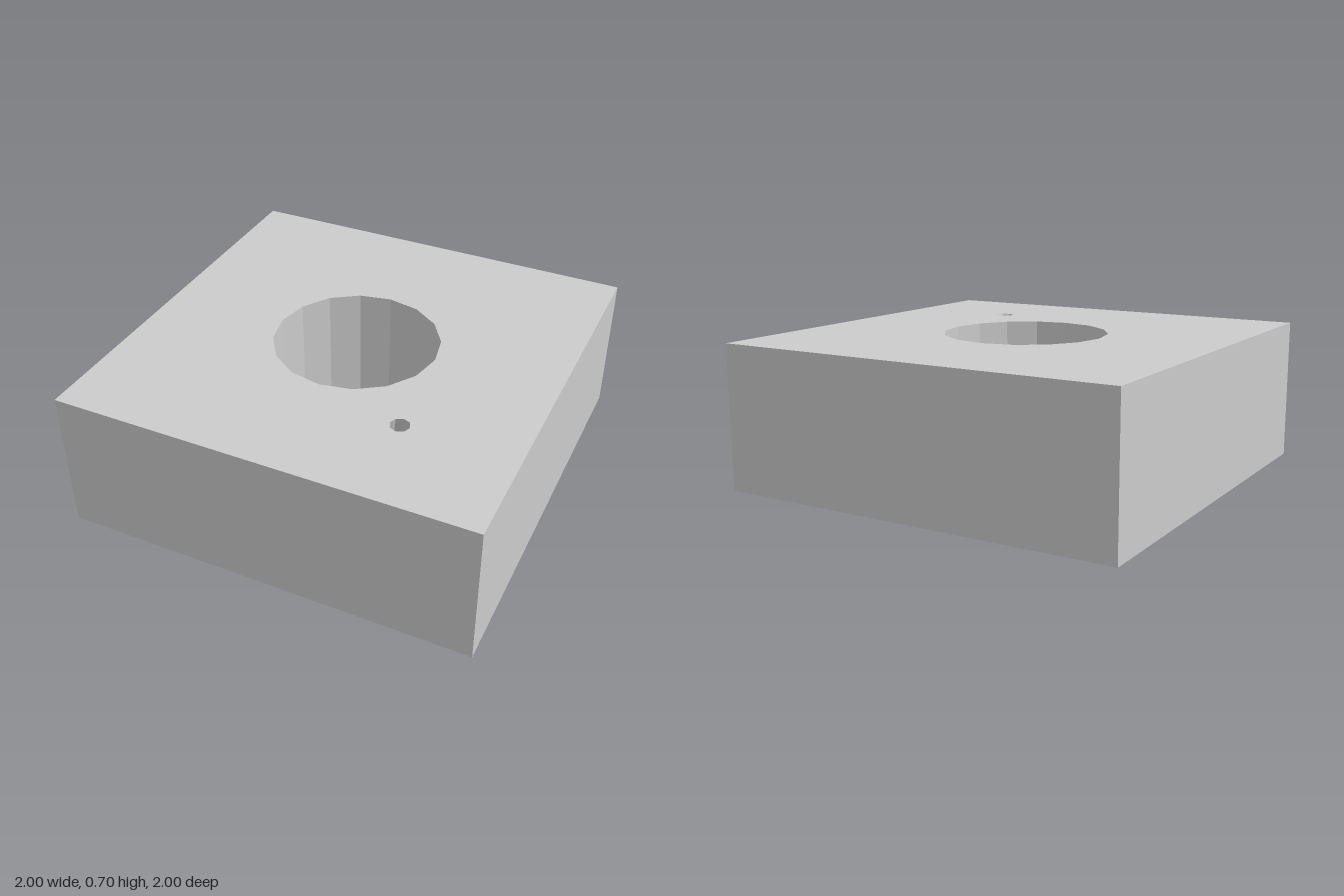
import * as THREE from 'three';

const material = new THREE.MeshStandardMaterial({ color: 0xcccccc, flatShading: true, side: THREE.DoubleSide });
const H = 0.7;      // block height
const ROOF = 0.3;   // pocket depth from below

// Regular polygon as [x, z] points
const ring = (cx, cz, r, n) => Array.from({ length: n }, (_, i) => {
  const a = (i / n) * Math.PI * 2;
  return [cx + r * Math.cos(a), cz + r * Math.sin(a)];
});
const toVectors = (loop) => loop.map(([x, z]) => new THREE.Vector2(x, z));

function add(group, name, geometry) {
  const mesh = new THREE.Mesh(geometry, material);
  mesh.name = name;
  group.add(mesh);
}

// Horizontal face with holes, facing up or down
function face(loop, holes, y, up) {
  const shape = new THREE.Shape(toVectors(loop));
  holes.forEach((h) => shape.holes.push(new THREE.Path(toVectors(h))));
  const g = new THREE.ShapeGeometry(shape).rotateX(Math.PI / 2);
  if (up) {
    const ix = g.index.array;
    for (let i = 0; i < ix.length; i += 3) [ix[i], ix[i + 1]] = [ix[i + 1], ix[i]];
  }
  g.translate(0, y, 0);
  g.computeVertexNormals();
  return g;
}

// Wall between a lower and an upper loop; inward walls line holes
function wall(low, y0, high, y1, inward) {
  const pos = [];
  low.forEach((_, i) => {
    const j = (i + 1) % low.length;
    const a = [low[i][0], y0, low[i][1]], b = [low[j][0], y0, low[j][1]];
    const c = [high[j][0], y1, high[j][1]], d = [high[i][0], y1, high[i][1]];
    const quad = inward ? [a, b, c, a, c, d] : [a, c, b, a, d, c];
    quad.forEach((p) => pos.push(...p));
  });
  const g = new THREE.BufferGeometry();
  g.setAttribute('position', new THREE.Float32BufferAttribute(pos, 3));
  g.computeVertexNormals();
  return g;
}

export function createModel() {
  const group = new THREE.Group();
  group.name = 'block';

  const outline = [[1, -1], [1, 1], [-1, 1], [-1, -1]];
  const bore = ring(0, 0, 0.4, 16);
  // Side pocket, open to the bore at its first and last points
  const pocket = [[0.32, 0.228], [0.365, 0.255], [0.46, 0.223], [0.5, 0.335], [0.502, 0.477],
    [0.45, 0.495], [0.32, 0.52], [0.265, 0.478], [0.17, 0.36]];
  const keyhole = [...bore.slice(0, 2), ...pocket, ...bore.slice(3)];
  // Small slanted passage from the top into the pocket
  const inlet = ring(0.447, 0.518, 0.047, 8);
  const outlet = ring(0.37, 0.4, 0.047, 8);

  add(group, 'topFace', face(outline, [bore, inlet], H, true));
  add(group, 'bottomFace', face(outline, [keyhole], 0, false));
  add(group, 'outerWalls', wall(outline, 0, outline, H, false));
  add(group, 'upperBore', wall(bore, ROOF, bore, H, true));
  add(group, 'lowerBoreAndPocket', wall(keyhole, 0, keyhole, ROOF, true));
  add(group, 'pocketRoof', face([...pocket, bore[2]], [outlet], ROOF, false));
  add(group, 'slantedPassage', wall(outlet, ROOF, inlet, H, true));
  return group;
}
